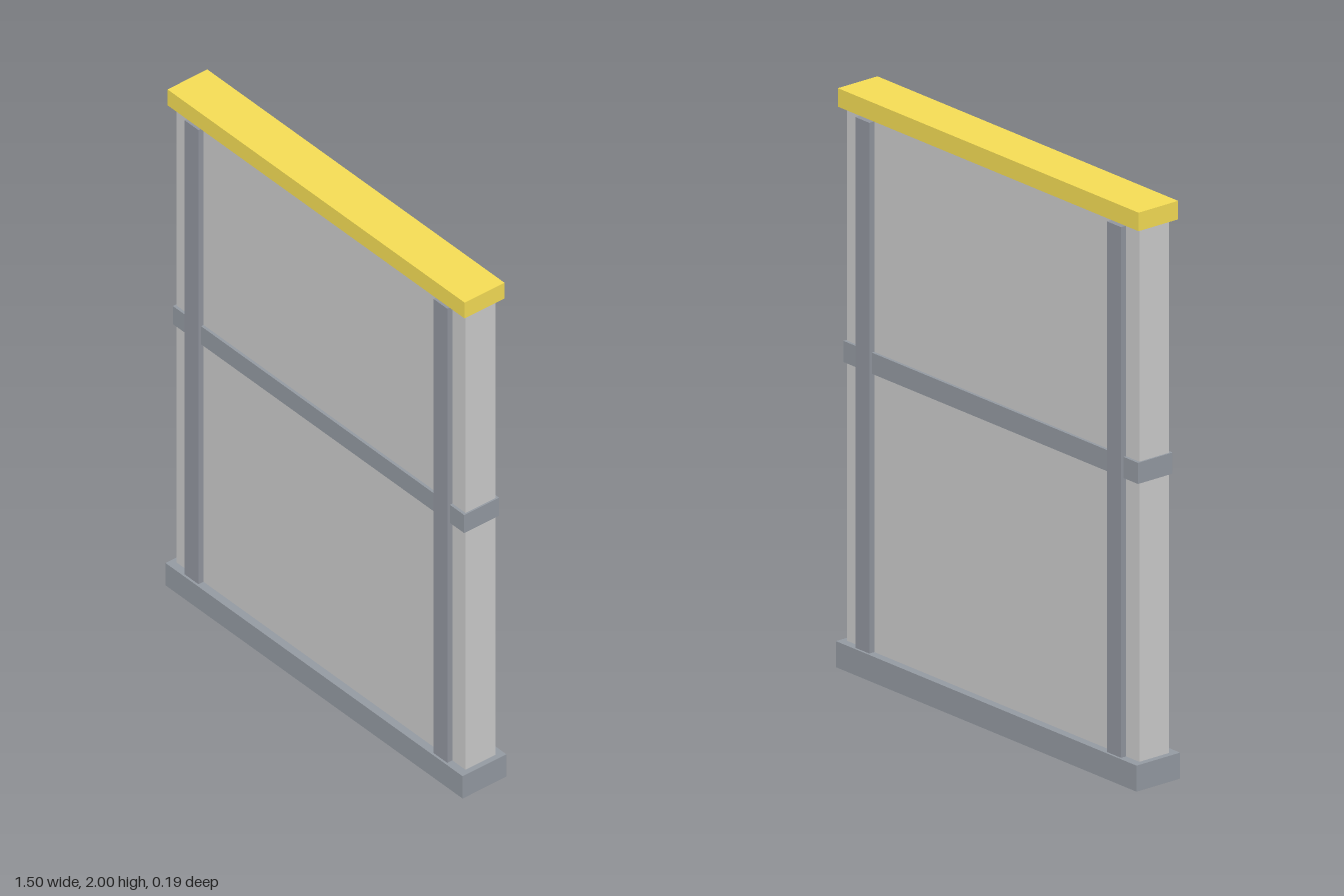
import * as THREE from 'three';

export function createModel() {
  const group = new THREE.Group();
  const grey = new THREE.MeshStandardMaterial({ color: 0xcccccc });
  const steel = new THREE.MeshStandardMaterial({ color: 0x949aa2 });
  const slate = new THREE.MeshStandardMaterial({ color: 0x92969f });
  const yellow = new THREE.MeshStandardMaterial({ color: 0xf5dd55 });

  // Box centred on x and z offsets, spanning y0 to y1
  function box(name, material, width, y0, y1, depth, x = 0, z = 0) {
    const mesh = new THREE.Mesh(new THREE.BoxGeometry(width, y1 - y0, depth), material);
    mesh.position.set(x, (y0 + y1) / 2, z);
    mesh.name = name;
    group.add(mesh);
  }

  // Wall slab with its plinth, middle band and coping
  box('wallPanel', grey, 1.458, 0.01, 1.94, 0.126);
  box('basePlinth', steel, 1.5, 0, 0.09, 0.185);
  box('middleBand', steel, 1.47, 1.055, 1.128, 0.147);
  box('topCap', yellow, 1.5, 1.936, 2, 0.168);

  // Vertical ribs on both faces, near each end
  for (const x of [-0.628, 0.628]) {
    for (const side of [-1, 1]) {
      box(side > 0 ? 'frontRib' : 'backRib', slate, 0.07, 0.02, 1.925, 0.028, x, side * 0.07);
    }
  }
  return group;
}
